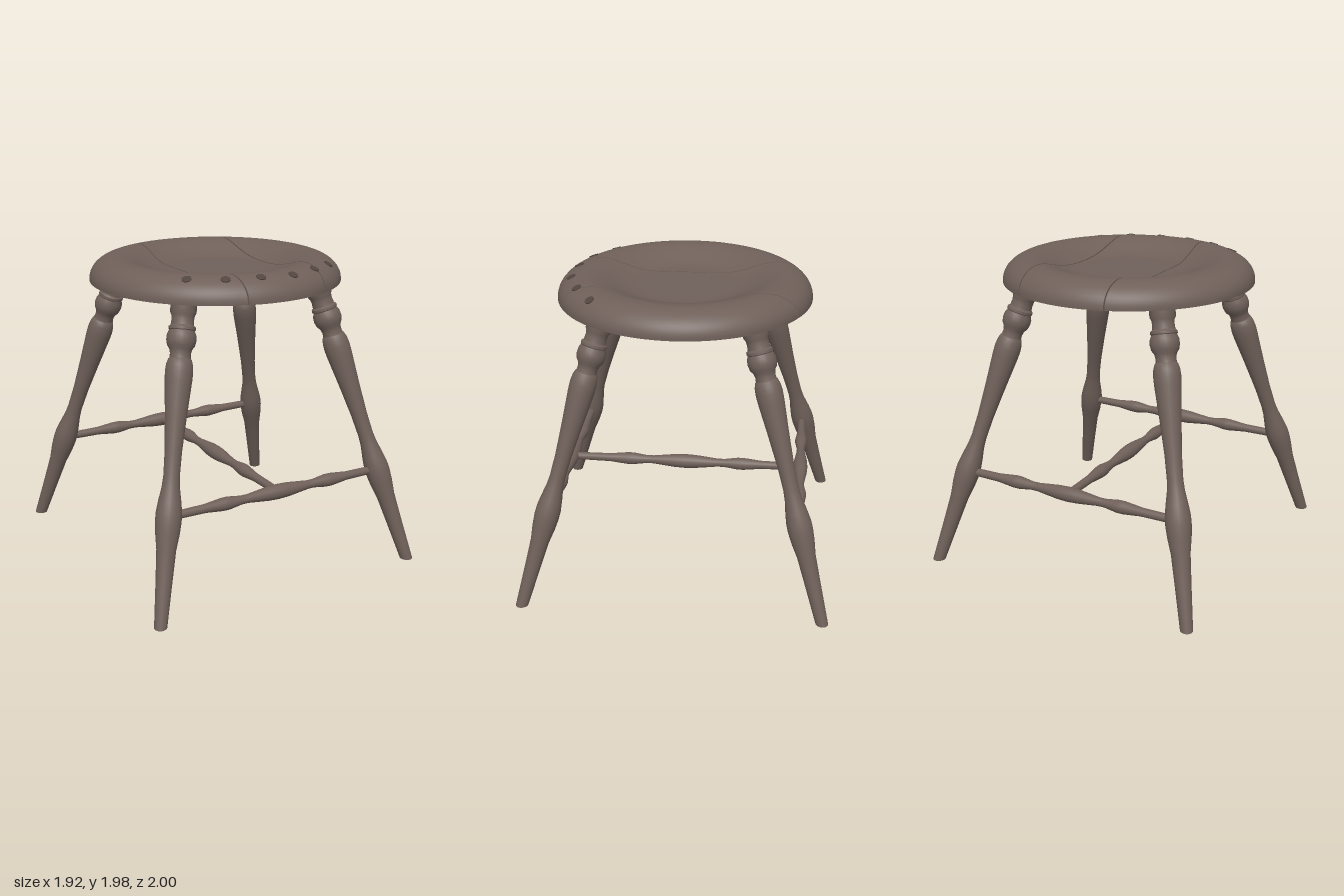
import * as THREE from 'three';
import { toCreasedNormals } from 'three/addons/utils/BufferGeometryUtils.js';

const SEAT_R = 0.81;
const wood = new THREE.MeshStandardMaterial({ color: 0x6f6059 });
wood.name = 'brown wood';
const holeWood = new THREE.MeshStandardMaterial({ color: 0x51453f });
holeWood.name = 'dark hole wood';

function addMesh(parent, name, geometry, material = wood) {
  const mesh = new THREE.Mesh(geometry, material);
  mesh.name = name;
  parent.add(mesh);
  return mesh;
}

const turned = (profile, sides) =>
  new THREE.LatheGeometry(profile.map(([r, h]) => new THREE.Vector2(r, h)), sides);

// Seat heights by radius: rounded rim, scooped middle, slightly chamfered underside
function seatTop(r) {
  if (r > 0.63) {
    const k = Math.min(1, (r - 0.63) / (SEAT_R - 0.63));
    return 1.835 + 0.14 * Math.sqrt(1 - k * k);
  }
  return 1.89 + 0.085 * THREE.MathUtils.smoothstep(r, 0.32, 0.63);
}
const seatBottom = (r) => 1.795 + 0.03 * THREE.MathUtils.smoothstep(r, 0.55, SEAT_R);

// One seat board, lofted from chords x = c + k z running front to back
function boardGeometry([c0, k0], [c1, k1], spacing) {
  const sections = 18, n = 40, loop = 2 * n + 2;
  const pos = [], index = [];
  const quad = (a, b, c, d) => index.push(a, b, c, a, c, d);
  for (let j = 0; j <= sections; j++) {
    const s = spacing(j / sections);
    const c = THREE.MathUtils.lerp(c0, c1, s), k = THREE.MathUtils.lerp(k0, k1, s);
    const mid = -c * k / (1 + k * k);
    const half = Math.sqrt(Math.max(0, mid * mid + (SEAT_R * SEAT_R - c * c) / (1 + k * k)));
    for (let i = 0; i < loop; i++) {
      const onTop = i <= n;
      const t = (onTop ? i : loop - 1 - i) / n;
      const z = mid + half * Math.sin((t - 0.5) * Math.PI);
      const x = c + k * z, r = Math.hypot(x, z);
      pos.push(x, onTop ? seatTop(r) : seatBottom(r), z);
    }
  }
  for (let j = 0; j < sections; j++) {
    for (let i = 0; i < loop; i++) {
      const a = j * loop + i, b = j * loop + (i + 1) % loop;
      quad(a, b, b + loop, a + loop);
    }
  }
  // Sawn faces along the joints
  const last = sections * loop;
  for (let i = 0; i < n; i++) {
    const bottom = loop - 1 - i;
    quad(i, bottom, bottom - 1, i + 1);
    quad(last + i, last + i + 1, last + bottom - 1, last + bottom);
  }
  const geometry = new THREE.BufferGeometry();
  geometry.setAttribute('position', new THREE.Float32BufferAttribute(pos, 3));
  geometry.setIndex(index);
  return toCreasedNormals(geometry, 0.7);
}

function makeSeat() {
  const seat = new THREE.Group();
  seat.name = 'seat';
  const gap = 0.004, rim = SEAT_R * 0.9999;
  const rightCut = [-0.24, 0.0227], leftCut = [0.358, -0.01];
  const shift = ([c, k], d) => [c + d, k];
  addMesh(seat, 'rightBoard', boardGeometry([-rim, 0], shift(rightCut, -gap),
    (u) => 1 - Math.cos(u * Math.PI / 2)));
  addMesh(seat, 'middleBoard', boardGeometry(shift(rightCut, gap), shift(leftCut, -gap), (u) => u));
  addMesh(seat, 'leftBoard', boardGeometry(shift(leftCut, gap), [rim, 0],
    (u) => Math.sin(u * Math.PI / 2)));

  // Row of peg holes along the front rim, showing above and below
  const disc = new THREE.CylinderGeometry(0.03, 0.03, 0.008, 16);
  const up = new THREE.Vector3(0, 1, 0);
  const holes = [[-0.49, 0.52], [-0.3, 0.645], [-0.09, 0.7], [0.13, 0.71], [0.335, 0.635], [0.52, 0.52]];
  for (const [x, z] of holes) {
    for (const [height, scale] of [[seatTop, 1], [seatBottom, 0.88]]) {
      const r = Math.hypot(x, z) * scale;
      const slope = (height(r + 0.01) - height(r - 0.01)) / 0.02;
      const hole = addMesh(seat, 'pegHole', disc, holeWood);
      hole.position.set(x * scale, height(r), z * scale);
      const normal = new THREE.Vector3(-slope * x * scale / r, 1, -slope * z * scale / r).normalize();
      hole.quaternion.setFromUnitVectors(up, normal);
    }
  }
  return seat;
}

// Turned leg profile: radius, height above the floor
const LEG = [
  [0, 0], [0.039, 0], [0.05, 0.25], [0.059, 0.43], [0.073, 0.52], [0.079, 0.59], [0.078, 0.64],
  [0.069, 0.7], [0.054, 0.78], [0.049, 0.84], [0.052, 0.98], [0.066, 1.18], [0.082, 1.37],
  [0.084, 1.42], [0.08, 1.46], [0.07, 1.49], [0.064, 1.495], [0.062, 1.52], [0.068, 1.545],
  [0.083, 1.565], [0.09, 1.595], [0.088, 1.625], [0.077, 1.65], [0.082, 1.655], [0.082, 1.67],
  [0.07, 1.68], [0.067, 1.71], [0.07, 1.735], [0.079, 1.75], [0.08, 1.84], [0, 1.84],
];

function legGeometry(sx, sz) {
  const axis = new THREE.Vector3(-0.44 * sx, 1.8, -0.495 * sz);
  const stretch = axis.length() / 1.8;
  axis.normalize();
  const geometry = turned(LEG.map(([r, y]) => [r, y * stretch]), 24);
  const tilt = new THREE.Quaternion().setFromUnitVectors(new THREE.Vector3(0, 1, 0), axis);
  const p = geometry.attributes.position, v = new THREE.Vector3();
  for (let i = 0; i < p.count; i++) {
    v.fromBufferAttribute(p, i);
    const foot = v.y < 1e-6;
    v.applyQuaternion(tilt);
    // Trim the foot level with the floor
    if (foot) v.addScaledVector(axis, -v.y / axis.y);
    p.setXYZ(i, v.x + 0.92 * sx, v.y, v.z + 0.96 * sz);
  }
  return toCreasedNormals(geometry, 0.6);
}

// Turned stretcher with a middle swelling and two smaller ones
const HALF = [[0.048, 0], [0.045, 0.07], [0.028, 0.22], [0.028, 0.27], [0.041, 0.36], [0.041, 0.4],
  [0.028, 0.52], [0.025, 0.78]];

export function createModel() {
  const stool = new THREE.Group();
  stool.name = 'stool';
  stool.add(makeSeat());

  for (const [sx, side] of [[1, 'Left'], [-1, 'Right']]) {
    for (const [sz, end] of [[1, 'front'], [-1, 'back']]) {
      addMesh(stool, `${end}${side}Leg`, legGeometry(sx, sz));
    }
  }

  const mirrored = HALF.slice(1).reverse().map(([r, h]) => [r, -h]);
  const bar = turned([...mirrored, ...HALF], 20);
  for (const [name, z] of [['frontStretcher', 0.787], ['backStretcher', -0.787]]) {
    const stretcher = addMesh(stool, name, bar);
    stretcher.rotation.z = Math.PI / 2;
    stretcher.position.set(0, 0.61, z);
  }
  const cross = addMesh(stool, 'crossStretcher', bar);
  cross.rotation.x = Math.PI / 2;
  cross.position.y = 0.61;
  return stool;
}
